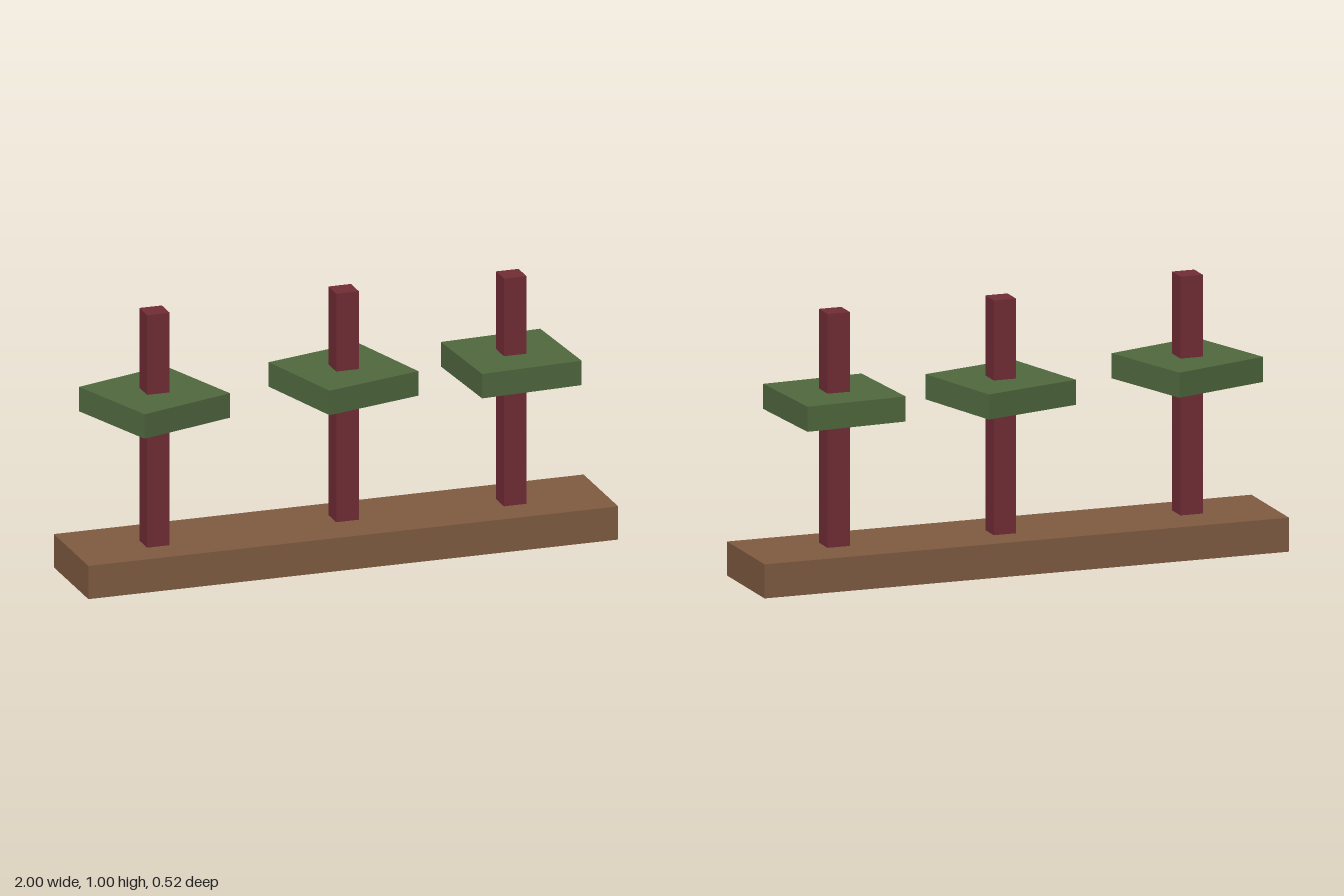
import * as THREE from 'three';

const material = (name, color) => {
  const m = new THREE.MeshStandardMaterial({ color, side: THREE.DoubleSide });
  m.name = name;
  return m;
};

// Thin-walled box, open underneath, standing on its own y = 0
function openBox(width, height, depth) {
  const geometry = new THREE.BoxGeometry(width, height, depth);
  const index = Array.from(geometry.index.array);
  index.splice(18, 6); // drop the bottom face
  geometry.setIndex(index);
  geometry.clearGroups();
  return geometry.translate(0, height / 2, 0);
}

export function createModel() {
  const model = new THREE.Group();
  const brown = material('brown', 0x805c41);
  const red = material('darkRed', 0x722d35);
  const green = material('green', 0x50693f);

  function add(name, geometry, mat, x, y, z, turn = 0) {
    const mesh = new THREE.Mesh(geometry, mat);
    mesh.name = name;
    mesh.position.set(x, y, z);
    mesh.rotation.y = turn;
    model.add(mesh);
  }

  // Long hollow base
  const baseTop = 0.125;
  add('base', openBox(2, baseTop, 0.374), brown, 0, 0, -0.003);

  // Three upright posts, each with a turned hollow tray around it
  const posts = [
    { x: -0.693, z: 0.02, top: 1.0, trayY: 0.608, turn: 0.318 },
    { x: 0.036, z: -0.024, top: 0.985, trayY: 0.6, turn: 0.264 },
    { x: 0.658, z: 0.007, top: 0.982, trayY: 0.598, turn: 0.058 },
  ];
  for (const { x, z, top, trayY, turn } of posts) {
    add('post', openBox(0.085, top - baseTop, 0.085), red, x, baseTop, z);
    add('tray', openBox(0.384, 0.092, 0.384), green, x, trayY, z, turn);
  }
  return model;
}
